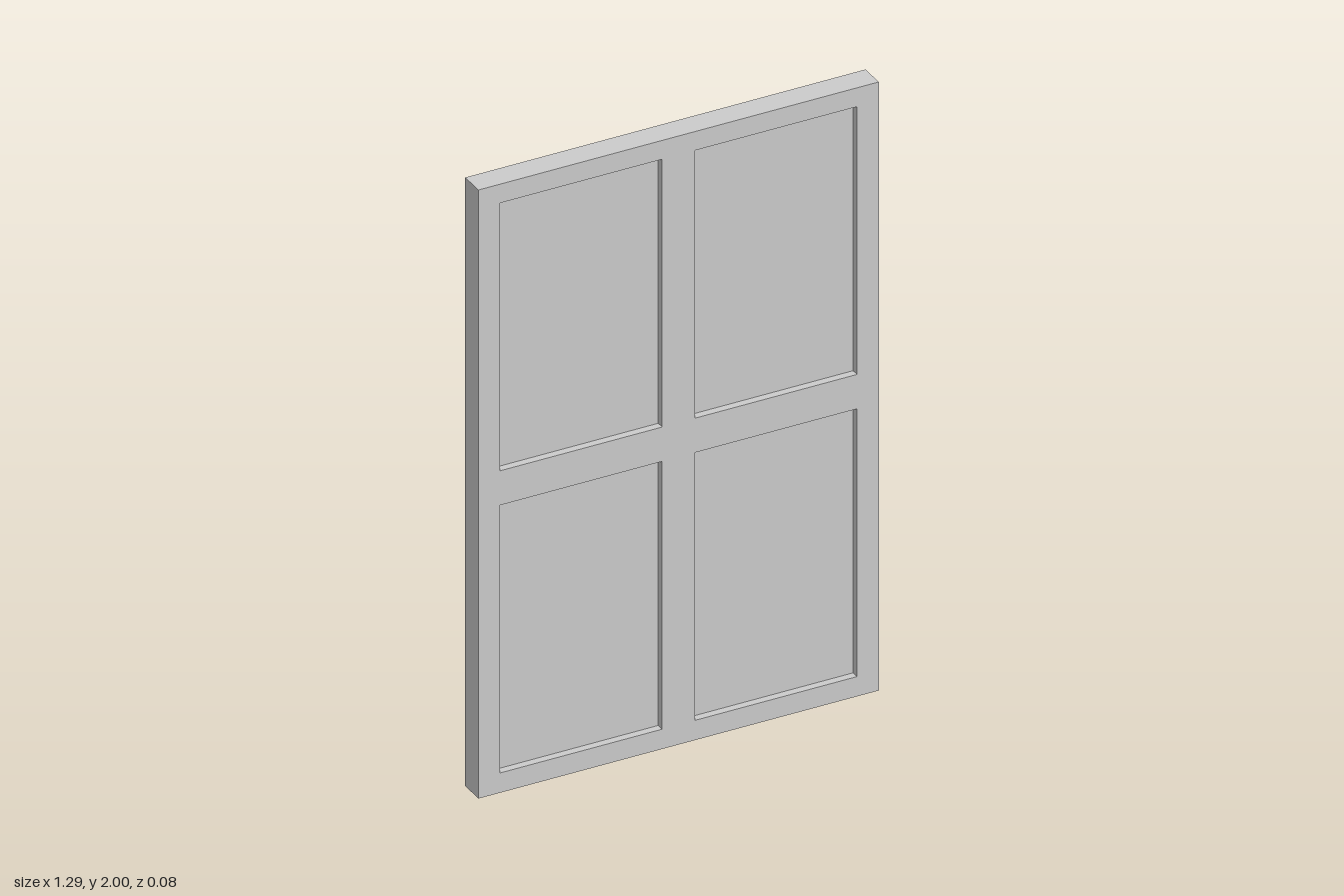
import * as THREE from 'three';

const WIDTH = 1.29, HEIGHT = 2, DEPTH = 0.08;
const PANE_W = 0.522, PANE_H = 0.88, PANE_T = 0.012, PANE_Z = 0.01;
const PANE_X = 0.314, PANE_Y = [0.505, 1.498];

// Trace a rectangle centred on (x, y)
function rect(path, x, y, w, h) {
  path.moveTo(x - w / 2, y - h / 2);
  path.lineTo(x + w / 2, y - h / 2);
  path.lineTo(x + w / 2, y + h / 2);
  path.lineTo(x - w / 2, y + h / 2);
  path.closePath();
  return path;
}

export function createModel() {
  const model = new THREE.Group();
  model.name = 'window';
  const material = new THREE.MeshStandardMaterial({ color: 0xcccccc });

  const outline = rect(new THREE.Shape(), 0, HEIGHT / 2, WIDTH, HEIGHT);
  const paneGeometry = new THREE.BoxGeometry(PANE_W, PANE_H, PANE_T);

  // Four panes, each filling an opening, set nearer the front
  PANE_Y.forEach((y, row) => {
    for (const side of [-1, 1]) {
      const x = side * PANE_X;
      outline.holes.push(rect(new THREE.Path(), x, y, PANE_W, PANE_H));
      const pane = new THREE.Mesh(paneGeometry, material);
      pane.name = (row ? 'upper' : 'lower') + (side > 0 ? 'Left' : 'Right') + 'Pane';
      pane.position.set(x, y, PANE_Z);
      model.add(pane);
    }
  });

  // Frame with its cross bars, cut from one board
  const frameGeometry = new THREE.ExtrudeGeometry(outline, { depth: DEPTH, bevelEnabled: false });
  frameGeometry.translate(0, 0, -DEPTH / 2);
  const frame = new THREE.Mesh(frameGeometry, material);
  frame.name = 'frame';
  model.add(frame);

  return model;
}
